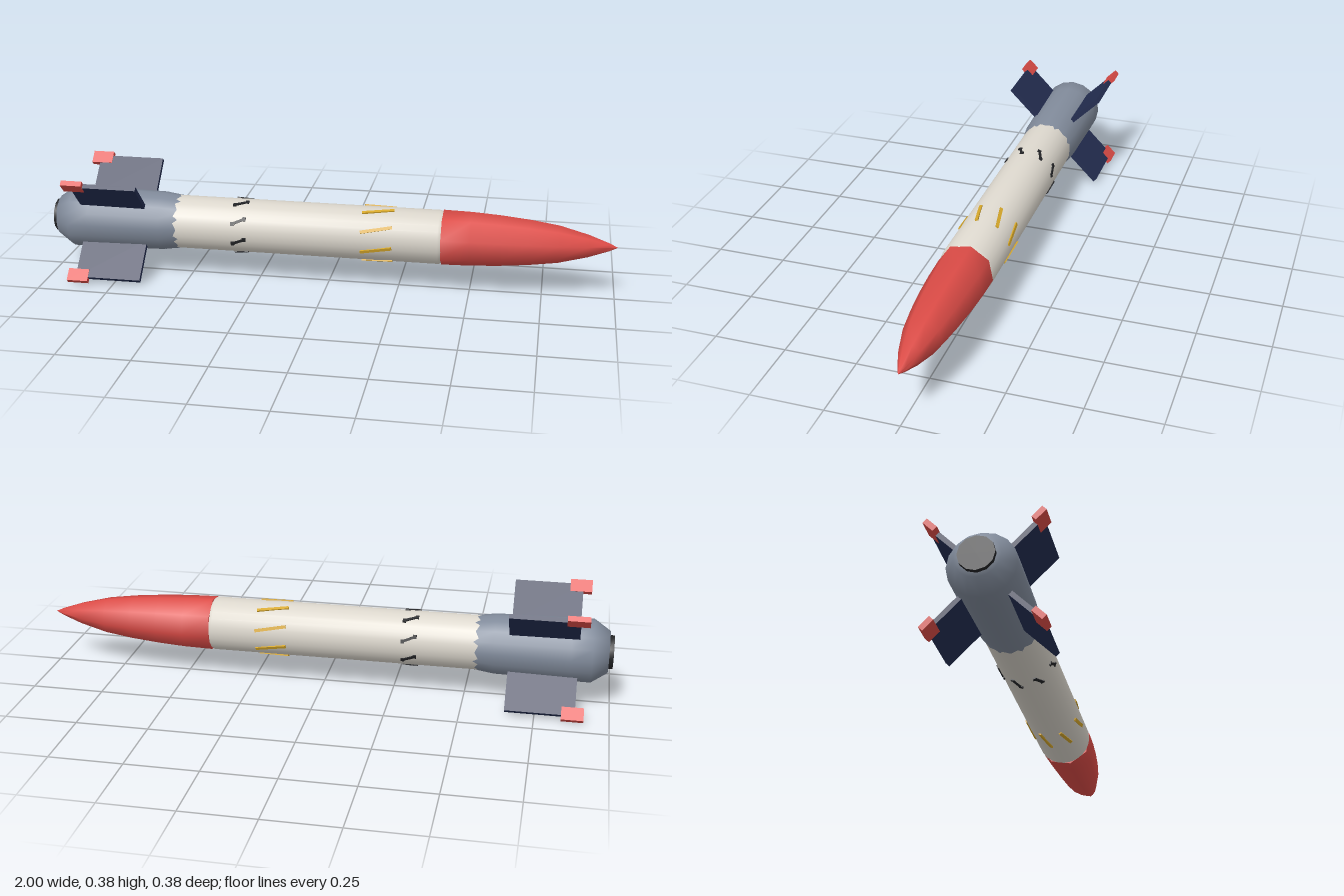
import * as THREE from 'three';
import { toCreasedNormals } from 'three/addons/utils/BufferGeometryUtils.js';

const AXIS_Y = 0.19;   // height of the rocket's long axis
const BODY_R = 0.095;

function makeMaterial(name, color) {
  const m = new THREE.MeshStandardMaterial({ color });
  m.name = name;
  return m;
}

// Solid of revolution about x; profile is a list of [x, radius], tail to nose
function turned(name, profile, sides, material, start = 0) {
  const points = profile.map(([x, r]) => new THREE.Vector2(r, x));
  let geometry = new THREE.LatheGeometry(points, sides, start);
  geometry.rotateZ(-Math.PI / 2);
  geometry = toCreasedNormals(geometry, 1);
  const mesh = new THREE.Mesh(geometry, material);
  mesh.name = name;
  return mesh;
}

function box(name, size, position, material) {
  const mesh = new THREE.Mesh(new THREE.BoxGeometry(...size), material);
  mesh.position.set(...position);
  mesh.name = name;
  return mesh;
}

// Group turned about the long axis, so its own +z points outward at the angle
function spoke(name, degrees) {
  const group = new THREE.Group();
  group.rotation.x = -THREE.MathUtils.degToRad(degrees);
  group.name = name;
  return group;
}

export function createModel() {
  const white = makeMaterial('bodyWhite', 0xdcd7cd);
  const red = makeMaterial('red', 0xdb4b46);
  const grey = makeMaterial('tailGrey', 0x818b9b);
  const navy = makeMaterial('finNavy', 0x232d50);
  const yellow = makeMaterial('markYellow', 0xd6a72a);
  const black = makeMaterial('black', 0x222326);

  const model = new THREE.Group();
  model.name = 'rocket';
  const rocket = new THREE.Group();
  rocket.name = 'airframe';
  rocket.position.y = AXIS_Y;
  model.add(rocket);

  // Hull
  rocket.add(turned('body',
    [[-0.62, BODY_R], [0.39, BODY_R], [0.402, 0.089], [0.402, 0]], 24, white));
  rocket.add(turned('noseCone', [
    [0.4, 0], [0.4, 0.0966], [0.5, 0.0945], [0.6, 0.0885], [0.7, 0.079],
    [0.8, 0.065], [0.9, 0.039], [0.97, 0.014], [1, 0],
  ], 8, red, THREE.MathUtils.degToRad(33)));
  // The tail tapers into the body, leaving a jagged seam
  rocket.add(turned('tailSection', [
    [-0.985, 0], [-0.985, 0.072], [-0.93, 0.109], [-0.86, 0.109],
    [-0.6, 0.104], [-0.5, 0.09],
  ], 16, grey));
  rocket.add(turned('nozzle',
    [[-1, 0], [-1, 0.058], [-0.98, 0.058]], 12, black));

  // Four fins with red tip blocks
  for (let i = 0; i < 4; i++) {
    const fin = spoke('fin', 45 + i * 90);
    fin.add(box('finPlate', [0.235, 0.0165, 0.159], [-0.7675, 0, 0.1645], navy));
    fin.add(box('finTip', [0.075, 0.019, 0.046], [-0.8775, 0, 0.237], red));
    rocket.add(fin);
  }

  // Eight slanted marks in each of two rings
  for (let i = 0; i < 8; i++) {
    const angle = 27 + i * 45;

    const stripe = spoke('yellowMark', angle);
    const bar = box('yellowBar', [0.112, 0.011, 0.008], [0.177, 0, 0.0945], yellow);
    bar.rotation.z = 0.2;
    stripe.add(bar);
    rocket.add(stripe);

    const dark = spoke('darkMark', angle);
    const slanted = box('darkBar', [0.05, 0.009, 0.008], [-0.31, 0, 0.0945], black);
    slanted.rotation.z = 0.42;
    dark.add(slanted);
    for (const s of [-1, 1]) {
      dark.add(box('darkBarEnd', [0.012, 0.014, 0.008],
        [-0.31 + s * 0.021, s * 0.0095, 0.0942], black));
    }
    rocket.add(dark);
  }

  return model;
}
